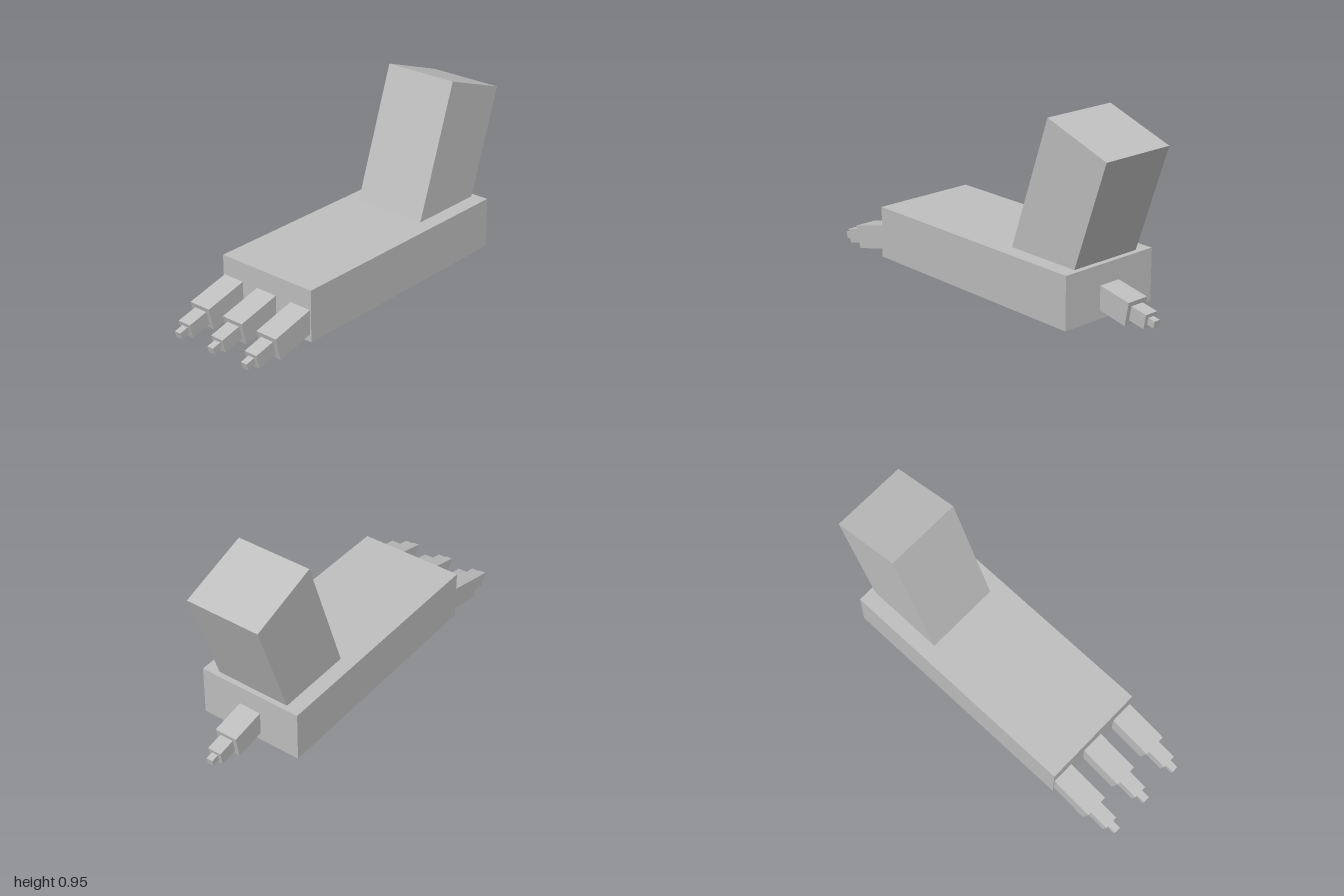
import * as THREE from 'three';

export function createModel() {
  const group = new THREE.Group();
  const grey = new THREE.MeshStandardMaterial({ color: 0xc0c0c0 });
  grey.name = 'light grey';

  function box(name, w, h, d, parent = group) {
    const mesh = new THREE.Mesh(new THREE.BoxGeometry(w, h, d), grey);
    mesh.name = name;
    parent.add(mesh);
    return mesh;
  }

  // Foot slab
  box('foot', 0.56, 0.266, 1.33).position.set(0, 0.15, -0.035);

  // Lower leg, leaning back, its base sunk into the foot
  const tilt = THREE.MathUtils.degToRad(19.1);
  const length = 0.8;
  const leg = box('leg', 0.4, length, 0.392);
  leg.rotation.x = -tilt;
  leg.position.set(0, 0.891 - length / 2 * Math.cos(tilt), -0.675 + length / 2 * Math.sin(tilt));

  // Three-step toe pointing along +z from its root, drooping by a given angle
  function toe(name, x, rootZ, droop, ends, yaw = 0) {
    const root = new THREE.Group();
    root.name = name;
    root.position.set(x, 0.12, rootZ);
    root.rotation.set(droop, yaw, 0, 'YXZ');
    const sizes = [0.12, 0.073, 0.035];
    const names = ['toeBase', 'toeMiddle', 'toeTip'];
    let start = -0.06;
    ends.forEach((end, i) => {
      box(names[i], sizes[i], sizes[i], end - start, root).position.z = (start + end) / 2;
      start = end;
    });
    group.add(root);
  }

  // Front toes and the single rear toe
  const frontDroop = THREE.MathUtils.degToRad(14);
  for (const [name, x] of [['rightToe', -0.213], ['middleToe', 0], ['leftToe', 0.213]]) {
    toe(name, x, 0.63, frontDroop, [0.218, 0.328, 0.378]);
  }
  toe('rearToe', 0, -0.7, THREE.MathUtils.degToRad(10.5), [0.171, 0.262, 0.302], Math.PI);

  return group;
}
